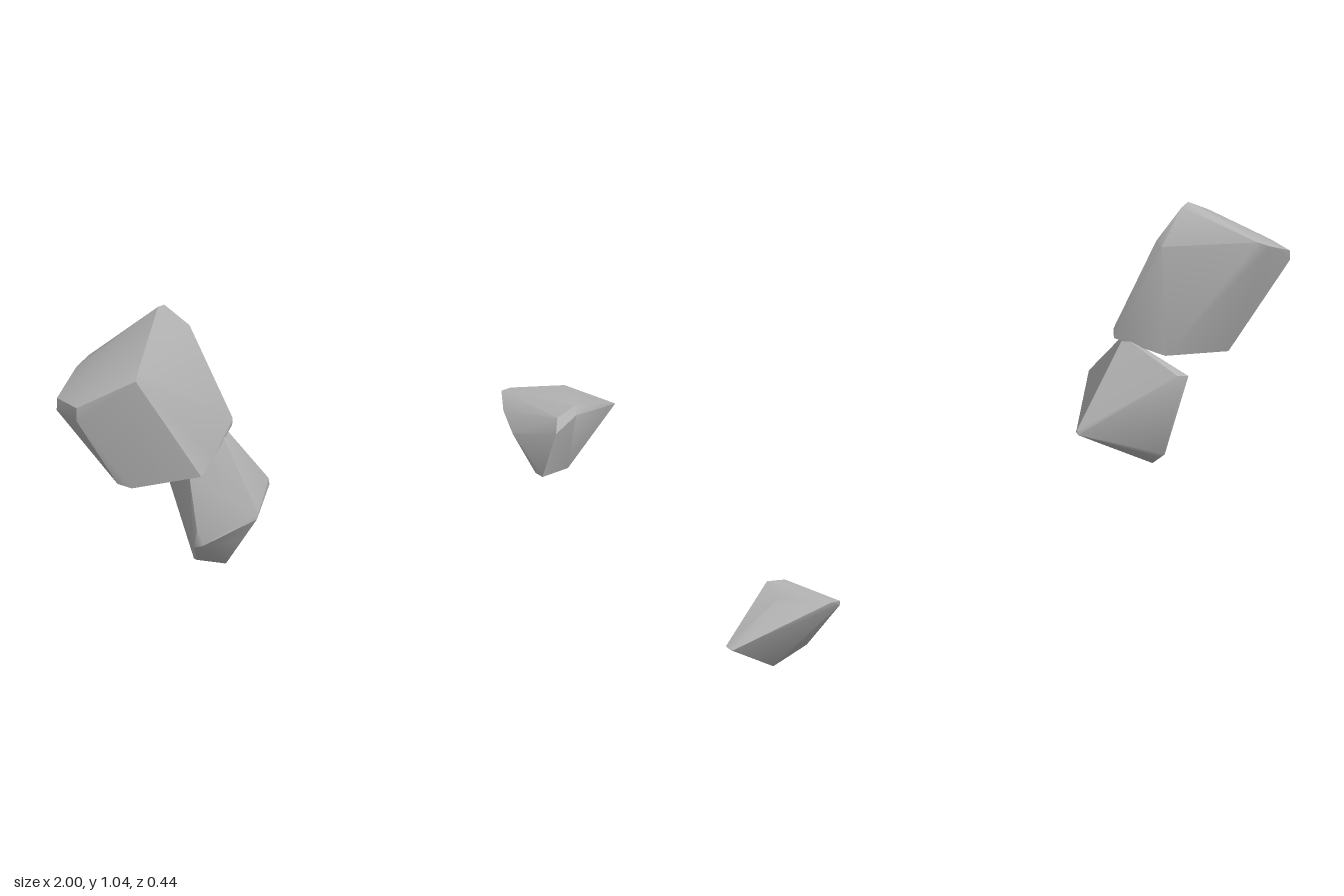
import * as THREE from 'three';
import { ConvexGeometry } from 'three/addons/geometries/ConvexGeometry.js';
import { toCreasedNormals } from 'three/addons/utils/BufferGeometryUtils.js';

// A rock is the hull of a few corner points, with soft shading over shallow edges
function rock(name, corners, material) {
  const hull = new ConvexGeometry(corners.map(c => new THREE.Vector3(...c)));
  const mesh = new THREE.Mesh(toCreasedNormals(hull, 0.65), material);
  mesh.name = name;
  return mesh;
}

export function createModel() {
  const group = new THREE.Group();
  group.name = 'rocks';
  const stone = new THREE.MeshStandardMaterial({ color: 0xb4b4b4 });
  stone.name = 'stone grey';

  // Tall slab leaning back
  group.add(rock('upperRock', [
    [-0.67, 1.048, -0.107], [-0.64, 1.04, -0.115], [-0.565, 0.955, -0.095], [-0.57, 0.94, -0.112],
    [-0.51, 0.69, 0.02], [-0.508, 0.665, 0.015],
    [-0.62, 0.63, 0.065], [-0.685, 0.6, 0.085],
    [-0.87, 0.945, 0.022], [-0.85, 0.965, 0.01],
    [-1, 0.87, -0.075], [-1, 0.83, -0.075], [-1, 0.83, -0.155], [-0.99, 0.86, -0.165],
    [-0.84, 0.92, -0.203], [-0.885, 0.9, -0.203],
    [-0.85, 0.58, -0.07], [-0.88, 0.6, -0.04], [-0.85, 0.585, -0.015],
    [-0.6, 0.62, -0.092], [-0.68, 0.592, 0.06],
  ], stone));

  // Blocky rock beneath the slab
  group.add(rock('lowerRock', [
    [-0.36, 0.435, 0], [-0.36, 0.422, -0.005], [-0.37, 0.425, 0.015],
    [-0.53, 0.668, 0], [-0.56, 0.655, 0.04], [-0.615, 0.62, 0.03],
    [-0.6, 0.51, 0.222], [-0.605, 0.493, 0.222], [-0.615, 0.41, 0.171],
    [-0.725, 0.4, 0.1], [-0.72, 0.415, 0.13], [-0.715, 0.45, 0.1], [-0.67, 0.57, 0.02],
    [-0.62, 0.575, -0.165], [-0.585, 0.58, -0.16], [-0.6, 0.555, -0.166],
    [-0.575, 0.35, -0.118], [-0.57, 0.34, -0.105],
    [-0.635, 0.288, 0], [-0.61, 0.305, 0.1], [-0.62, 0.32, 0.117], [-0.66, 0.31, 0.04],
  ], stone));

  // Small pointed rock lying apart
  group.add(rock('smallRock', [
    [1, 0.1, -0.12], [1, 0.105, -0.09], [0.985, 0.092, -0.1],
    [0.84, 0.212, -0.12],
    [0.73, 0.205, -0.218], [0.7, 0.205, -0.222], [0.7, 0.192, -0.22],
    [0.77, 0.226, 0], [0.7, 0.216, 0.005], [0.76, 0.205, 0.015], [0.68, 0.18, 0.022],
    [0.8, 0.003, -0.06], [0.78, 0.008, -0.04], [0.67, 0.03, -0.022], [0.665, 0.035, -0.045],
    [0.64, 0.14, -0.11], [0.66, 0.18, -0.17],
  ], stone));

  return group;
}
